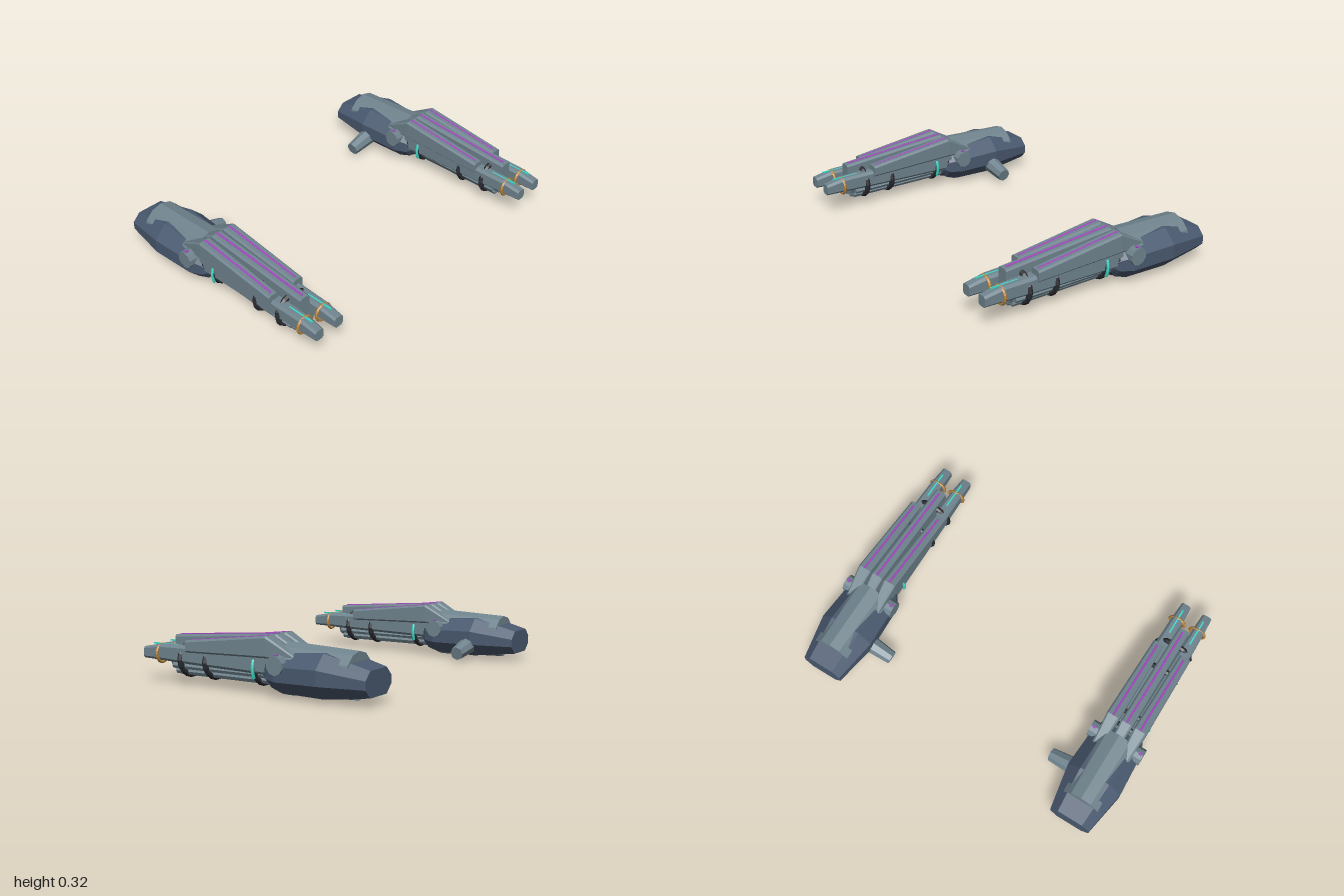
import * as THREE from 'three';

const mat = (name, color) => {
  const m = new THREE.MeshStandardMaterial({ color, flatShading: true });
  m.name = name;
  return m;
};

// Eight-sided section across x: y from y0 to y1, half width hw, corner cut c
function section([x, y0, y1, hw, c], z = 0) {
  return [[hw, y0 + c], [hw, y1 - c], [hw - c, y1], [c - hw, y1],
    [-hw, y1 - c], [-hw, y0 + c], [c - hw, y0], [hw - c, y0]]
    .map(([dz, y]) => [x, y, z + dz]);
}

// Skins a row of sections and caps both ends
function loft(rows, z = 0) {
  const rings = rows.map((r) => section(r, z));
  const pos = [];
  const tri = (a, b, c) => pos.push(...a, ...b, ...c);
  const n = 8;
  for (let i = 0; i < rings.length - 1; i++) {
    for (let j = 0; j < n; j++) {
      const k = (j + 1) % n;
      tri(rings[i][j], rings[i + 1][j], rings[i + 1][k]);
      tri(rings[i][j], rings[i + 1][k], rings[i][k]);
    }
  }
  const first = rings[0], last = rings[rings.length - 1];
  for (let j = 1; j < n - 1; j++) {
    tri(first[0], first[j], first[j + 1]);
    tri(last[0], last[j + 1], last[j]);
  }
  const g = new THREE.BufferGeometry();
  g.setAttribute('position', new THREE.Float32BufferAttribute(pos, 3));
  g.computeVertexNormals();
  return g;
}

// Prism along x from x0 to x1
function rod(x0, x1, r0, r1, sides) {
  const g = new THREE.CylinderGeometry(r1, r0, x1 - x0, sides);
  g.rotateZ(-Math.PI / 2);
  g.translate((x0 + x1) / 2, 0, 0);
  return g;
}

export function createModel() {
  const hullMat = mat('slate blue', 0x4a5a70);
  const plateMat = mat('steel grey', 0x70848e);
  const darkMat = mat('charcoal', 0x2b2c32);
  const purpleMat = mat('purple', 0xa348c0);
  const tealMat = mat('teal', 0x3fd8c6);
  const goldMat = mat('bronze', 0xb5853f);

  // One cannon; inner is the z direction of its mounting peg
  function cannon(inner) {
    const gun = new THREE.Group();
    const add = (name, geo, m, x = 0, y = 0, z = 0) => {
      const mesh = new THREE.Mesh(geo, m);
      mesh.name = name;
      mesh.position.set(x, y, z);
      gun.add(mesh);
      return mesh;
    };

    // Rear housing and the shell that breaks through its top and bottom
    add('hull', loft([
      [-0.72, 0.05, 0.185, 0.122, 0.045],
      [-0.46, 0.02, 0.25, 0.167, 0.075],
      [-0.2, 0.025, 0.232, 0.152, 0.065],
      [-0.13, 0.045, 0.205, 0.125, 0.05],
      [-0.1, 0.08, 0.165, 0.105, 0.03],
    ]), hullMat);
    add('innerShell', rod(-0.61, -0.195, 0.124, 0.14, 12), plateMat, 0, 0.14);

    // Side pivot running through the housing
    const pivot = new THREE.CylinderGeometry(0.05, 0.05, 0.334, 10);
    pivot.rotateX(Math.PI / 2);
    add('pivot', pivot, plateMat, -0.212, 0.175);

    // Mounting peg
    const peg = new THREE.CylinderGeometry(0.04, 0.054, 0.18, 8);
    const pegMesh = add('mountingPeg', peg, plateMat, -0.435, 0.073, inner * 0.197);
    pegMesh.quaternion.setFromUnitVectors(
      new THREE.Vector3(0, 1, 0), new THREE.Vector3(0, -0.22, inner).normalize());

    // Core with a bundle of rods below
    add('core', rod(-0.15, 0.545, 0.078, 0.076, 8), plateMat, 0, 0.14);
    for (let i = -2; i <= 2; i++) {
      const a = i * 0.56;
      add('lowerRod', rod(-0.14, 0.52, 0.018, 0.018, 6), plateMat,
        0, 0.14 - 0.08 * Math.cos(a), 0.08 * Math.sin(a));
    }

    // Clamp rings
    for (const x of [-0.125, -0.04, 0.28, 0.45]) {
      const ring = new THREE.TorusGeometry(0.09, 0.016, 6, 18);
      ring.rotateY(Math.PI / 2);
      ring.scale(1, 1, 1.15);
      add('clampRing', ring, darkMat, x, 0.14);
    }

    // Centre fin
    add('centreFin', loft([
      [-0.28, 0.18, 0.225, 0.025, 0.006],
      [-0.125, 0.18, 0.314, 0.036, 0.01],
      [0.545, 0.13, 0.262, 0.033, 0.01],
    ]), plateMat);
    add('centreStripe', loft([
      [-0.125, 0.312, 0.318, 0.006, 0.001],
      [0.525, 0.262, 0.268, 0.006, 0.001],
    ]), purpleMat);

    for (const s of [1, -1]) {
      // Side fins with a light strip
      add('sideFin', loft([
        [-0.29, 0.19, 0.222, 0.025, 0.006],
        [-0.125, 0.2, 0.314, 0.039, 0.01],
        [0.405, 0.185, 0.25, 0.033, 0.01],
      ], s * 0.086), plateMat);
      add('sideStripe', loft([
        [-0.125, 0.312, 0.317, 0.006, 0.001],
        [0.385, 0.2495, 0.2545, 0.006, 0.001],
      ], s * 0.086), purpleMat);

      // Barrels
      add('barrel', loft([
        [-0.15, 0.11, 0.22, 0.046, 0.015],
        [0.4, 0.12, 0.218, 0.039, 0.015],
        [0.6, 0.127, 0.214, 0.034, 0.014],
        [0.716, 0.13, 0.192, 0.029, 0.011],
      ], s * 0.069), plateMat);
      add('barrelStrip', new THREE.BoxGeometry(0.26, 0.008, 0.009), tealMat,
        0.535, 0.212, s * 0.067);
      const band = new THREE.TorusGeometry(0.048, 0.009, 6, 20);
      band.rotateY(Math.PI / 2);
      add('barrelBand', band, goldMat, 0.607, 0.161, s * 0.066);

      // Glowing side arcs
      const arc = new THREE.TorusGeometry(0.119, 0.009, 6, 8, 0.84);
      arc.rotateZ(-0.44);
      arc.rotateY(-s * Math.PI / 2);
      add('glowArc', arc, tealMat, -0.042, 0.138);

      // Pivot markers
      add('pivotMarker', new THREE.BoxGeometry(0.014, 0.008, 0.02), purpleMat,
        -0.212, 0.225, s * 0.148);
    }
    return gun;
  }

  const model = new THREE.Group();
  model.name = 'cannonPair';
  for (const s of [1, -1]) {
    const gun = cannon(-s);
    gun.name = s > 0 ? 'leftCannon' : 'rightCannon';
    gun.position.z = s * 0.833;
    if (s < 0) gun.name = 'rightCannon';
    model.add(gun);
  }
  return model;
}
